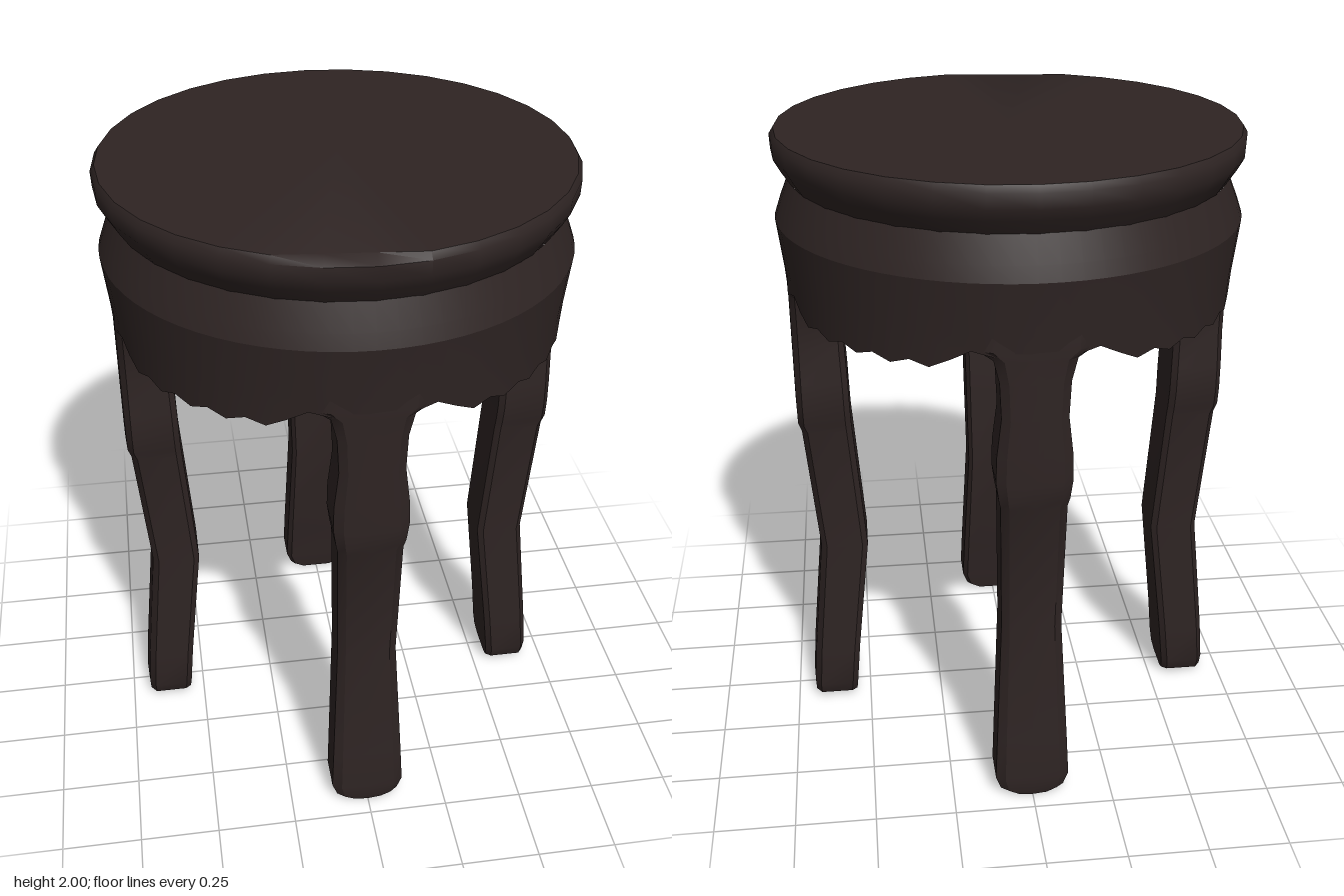
import * as THREE from 'three';
import { toCreasedNormals } from 'three/addons/utils/BufferGeometryUtils.js';

const darkWood = new THREE.MeshStandardMaterial({ color: 0x2e2423 });
darkWood.name = 'darkWood';

function makeMesh(name, geometry, crease = 0.5) {
  const mesh = new THREE.Mesh(toCreasedNormals(geometry, crease), darkWood);
  mesh.name = name;
  return mesh;
}

function lathe(points, segments) {
  return new THREE.LatheGeometry(points.map(([r, y]) => new THREE.Vector2(r, y)), segments);
}

// Round seat slab; the top rim is trimmed straight along a short chord at the front
function seatGeometry() {
  const geometry = lathe([[0, 1.84], [0.668, 1.855], [0.697, 1.9], [0.716, 1.935],
    [0.718, 1.98], [0.705, 2], [0, 2]], 32);
  const p = geometry.attributes.position;
  for (let i = 0; i < p.count; i++) {
    const x = p.getX(i);
    if (p.getY(i) > 1.99 && p.getZ(i) > 0.6 && x > -0.2 && x < 0.1) {
      p.setZ(i, 0.652 + (x + 0.27) * 0.095);
    }
  }
  return geometry;
}

// Hollow apron whose lower edge zigzags between the legs
function apronGeometry() {
  const lower = [1.5, 1.5, 1.515, 1.53, 1.5, 1.472, 1.487, 1.467, 1.485, 1.467];
  const profile = [[0, 1.77], [0.54, 1.77], [0.54, 1.5], [0.692, 1.5], [0.698, 1.58],
    [0.716, 1.735], [0.7, 1.78], [0.668, 1.858]];
  const segments = 72;
  const geometry = lathe(profile, segments);
  const p = geometry.attributes.position;
  for (let i = 0; i <= segments; i++) {
    const step = i % 18;
    const y = lower[Math.min(step, 18 - step)];
    for (const j of [2, 3]) p.setY(i * profile.length + j, y);
  }
  return geometry;
}

// Curved leg lofted through sections of [height, outer radius, inner radius, half width]
function legGeometry() {
  const sections = [
    [0, 0.69, 0.55, 0.06], [0.018, 0.694, 0.547, 0.1], [0.06, 0.695, 0.543, 0.116],
    [0.2, 0.685, 0.53, 0.11], [0.6, 0.645, 0.485, 0.092], [1.03, 0.683, 0.517, 0.098],
    [1.06, 0.693, 0.519, 0.104], [1.12, 0.694, 0.521, 0.112], [1.2, 0.694, 0.523, 0.11],
    [1.32, 0.694, 0.528, 0.096], [1.43, 0.694, 0.526, 0.101], [1.5, 0.694, 0.52, 0.118],
    [1.53, 0.694, 0.52, 0.16], [1.6, 0.69, 0.53, 0.165]];
  const position = [];
  const index = [];
  const n = 9;
  for (const [y, out, inn, h] of sections) {
    const ring = [[0, out], [0.75 * h, out - 0.005], [h, out - 0.024], [h, inn + 0.018],
      [0.86 * h, inn], [-0.86 * h, inn], [-h, inn + 0.018], [-h, out - 0.024],
      [-0.75 * h, out - 0.005]];
    for (const [x, z] of ring) position.push(x, y, z);
  }
  for (let i = 0; i < sections.length - 1; i++) {
    for (let j = 0; j < n; j++) {
      const a = i * n + j;
      const b = i * n + (j + 1) % n;
      index.push(a, b, b + n, a, b + n, a + n);
    }
  }
  // sole and hidden top
  const last = (sections.length - 1) * n;
  for (let j = 1; j < n - 1; j++) {
    index.push(0, j + 1, j, last, last + j, last + j + 1);
  }
  const geometry = new THREE.BufferGeometry();
  geometry.setAttribute('position', new THREE.Float32BufferAttribute(position, 3));
  geometry.setIndex(index);
  return geometry;
}

export function createModel() {
  const stool = new THREE.Group();
  stool.name = 'stool';
  stool.add(makeMesh('seat', seatGeometry(), 0.7));
  stool.add(makeMesh('apron', apronGeometry(), 0.45));
  ['frontLeg', 'leftLeg', 'backLeg', 'rightLeg'].forEach((name, i) => {
    const leg = makeMesh(name, legGeometry(), 0.5);
    leg.rotation.y = i * Math.PI / 2;
    stool.add(leg);
  });
  return stool;
}
